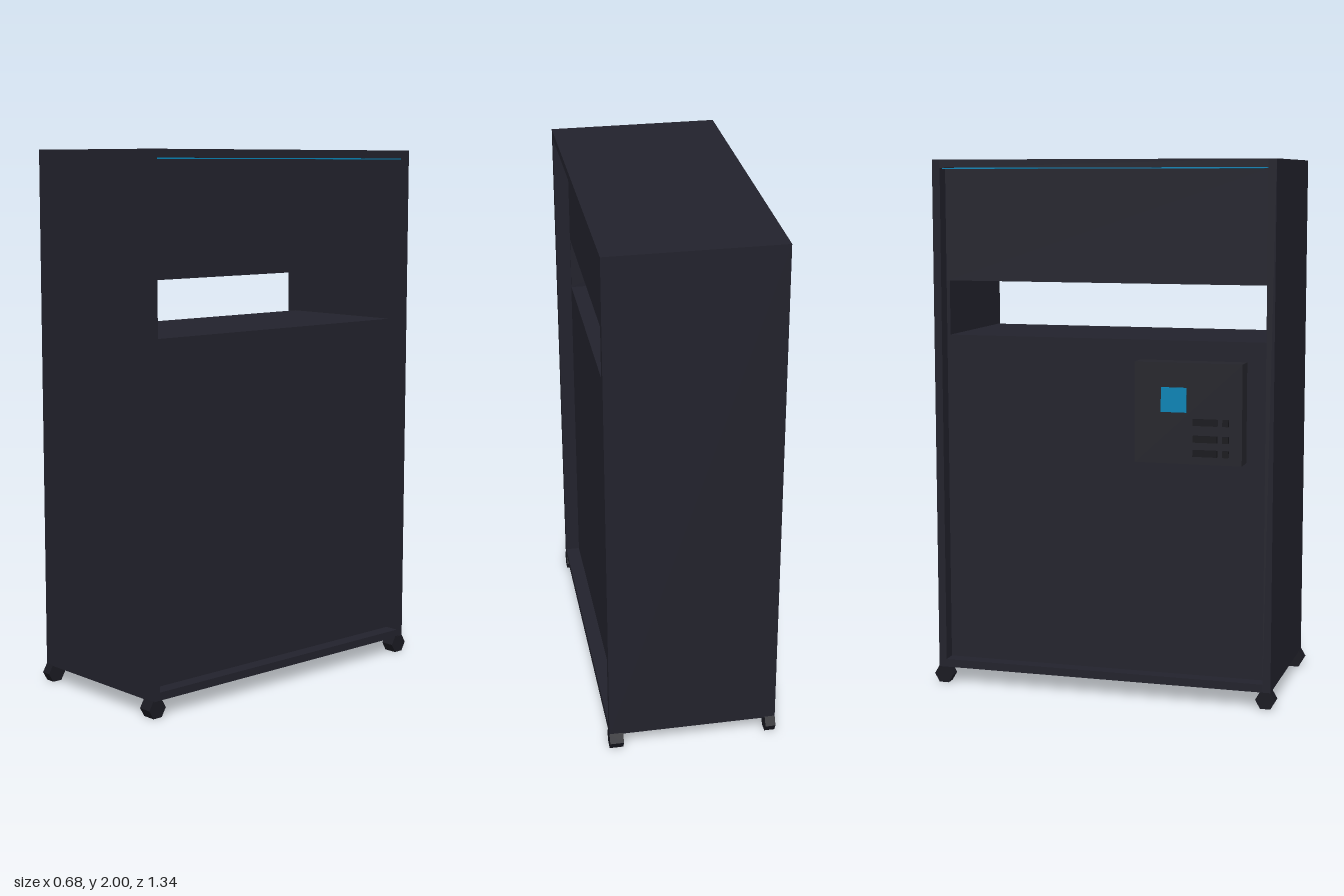
import * as THREE from 'three';

export function createModel() {
  const model = new THREE.Group();
  const paint = (name, color) => {
    const m = new THREE.MeshStandardMaterial({ color });
    m.name = name;
    return m;
  };
  const shell = paint('dark slate', 0x22222c);
  const rubber = paint('foot black', 0x1a1a22);
  const housing = paint('panel charcoal', 0x24242b);
  const keys = paint('button black', 0x17171c);
  const glow = paint('display blue', 0x0683b5);

  // Box given by its lower and upper limits on each axis
  const box = (name, material, [x0, x1], [y0, y1], [z0, z1], parent = model) => {
    const mesh = new THREE.Mesh(new THREE.BoxGeometry(x1 - x0, y1 - y0, z1 - z0), material);
    mesh.position.set((x0 + x1) / 2, (y0 + y1) / 2, (z0 + z1) / 2);
    mesh.name = name;
    parent.add(mesh);
    return mesh;
  };

  const X = [-0.302, 0.335]; // full cabinet width
  const core = [-0.247, 0.28]; // recessed infill width
  const inner = [-0.62, 0.62];

  // Outer frame
  box('frontWall', shell, X, [0.062, 2], [0.62, 0.65]);
  box('backWall', shell, X, [0.062, 2], [-0.65, -0.62]);
  box('roof', shell, X, [1.97, 2], inner);
  box('base', shell, X, [0.062, 0.092], inner);

  // Recessed blocks above and below the open slot, with slot end liners
  box('upperBlock', shell, core, [1.55, 1.97], inner);
  box('lowerBlock', shell, core, [0.092, 1.345], inner);
  box('slotFrontLiner', shell, core, [1.345, 1.55], [0.613, 0.62]);
  box('slotBackLiner', shell, core, [1.345, 1.55], [-0.62, -0.607]);

  // Light strips under the roof edges
  box('rightLightStrip', glow, [0.281, 0.325], [1.966, 1.97], [-0.615, 0.615]);
  box('leftLightStrip', glow, [-0.292, -0.248], [1.966, 1.97], [-0.615, 0.615]);

  // Six-sided feet lying across the corners
  for (const [x0, x1] of [[-0.302, -0.263], [0.283, 0.335]]) {
    for (const side of [-1, 1]) {
      const geometry = new THREE.CylinderGeometry(0.038, 0.038, x1 - x0, 6);
      geometry.rotateZ(Math.PI / 2); // corners point along z
      const foot = new THREE.Mesh(geometry.toNonIndexed(), rubber);
      foot.geometry.computeVertexNormals();
      foot.position.set((x0 + x1) / 2, 0.033, side * 0.631);
      foot.name = 'foot';
      model.add(foot);
    }
  }

  // Control panel standing on the recessed face
  const panel = new THREE.Group();
  panel.name = 'controlPanel';
  model.add(panel);
  box('panelHousing', housing, [-0.328, -0.247], [0.903, 1.272], [0.14, 0.54], panel);
  box('screen', glow, [-0.335, -0.328], [1.092, 1.182], [0.24, 0.335], panel);
  for (const y of [1.058, 0.997, 0.945]) {
    box('barButton', keys, [-0.341, -0.328], [y - 0.012, y + 0.012], [0.36, 0.45], panel);
    box('smallButton', keys, [-0.341, -0.328], [y - 0.012, y + 0.012], [0.47, 0.492], panel);
  }

  return model;
}
